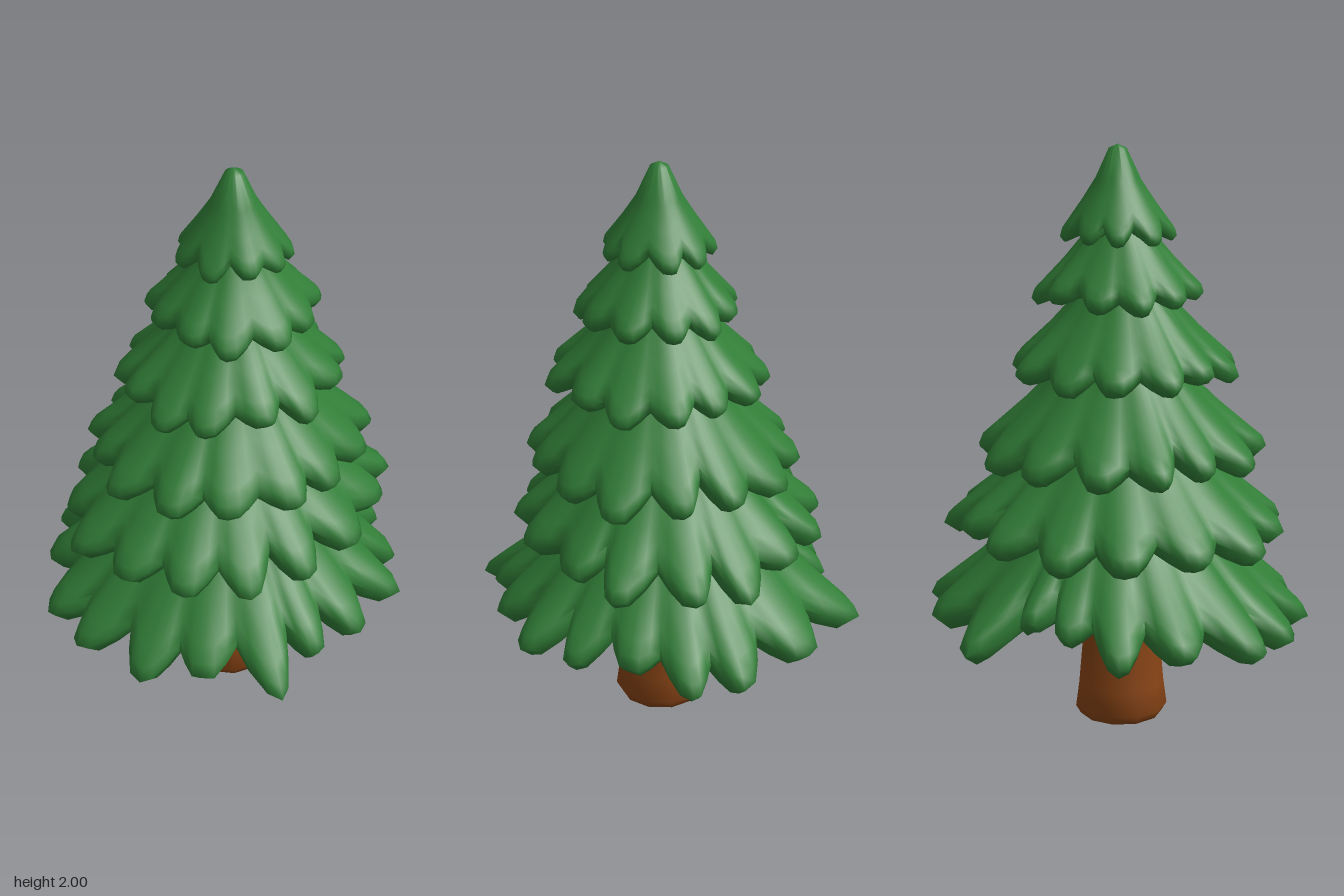
import * as THREE from 'three';
import { toCreasedNormals } from 'three/addons/utils/BufferGeometryUtils.js';

const green = new THREE.MeshStandardMaterial({ color: 0x317d37 });
green.name = 'needle green';
const brown = new THREE.MeshStandardMaterial({ color: 0x884415 });
brown.name = 'bark brown';

// Small seeded generator for the uneven leaves
function seeded(seed) {
  return () => {
    seed = (seed * 16807) % 2147483647;
    return seed / 2147483647;
  };
}

// Leaf tips of the widest skirt: angle in degrees (from +x towards +z) and reach
const skirtTips = [
  [-71, 0.68], [-40, 0.645], [-15, 0.67], [0, 0.665], [20, 0.585], [40, 0.605],
  [58, 0.64], [82, 0.615], [100, 0.615], [115, 0.705], [138, 0.63], [156, 0.67],
  [180, 0.67], [197, 0.675], [222, 0.63], [242, 0.65], [262, 0.55], [275, 0.54],
];

// Tiers from the top down: top radius and height, leaf tip radii, rim height, thickness
const tiers = [
  { r0: 0.03, y0: 1.985, rx: 0.2, rz: 0.2, rim: 1.715, thick: 0.035, leaves: 9, cx: 0.008, cz: 0.03 },
  { r0: 0.05, y0: 1.82, rx: 0.305, rz: 0.29, rim: 1.505, thick: 0.045, leaves: 11, cx: 0.003, cz: 0.033 },
  { r0: 0.08, y0: 1.62, rx: 0.405, rz: 0.385, rim: 1.26, thick: 0.05, leaves: 13, cx: -0.008, cz: 0.035 },
  { r0: 0.11, y0: 1.4, rx: 0.515, rz: 0.48, rim: 0.98, thick: 0.06, leaves: 14, cx: -0.004, cz: 0.028 },
  { r0: 0.16, y0: 1.15, rx: 0.615, rz: 0.55, rim: 0.72, thick: 0.065, leaves: 15, cx: -0.005, cz: 0.005 },
  { r0: 0.2, y0: 0.9, rx: 0.66, rz: 0.66, rim: 0.42, thick: 0.07, tips: skirtTips, cx: 0, cz: 0 },
];

// Outline from one blunt leaf tip, through the notch, towards the next tip
const leafShape = [1, 0.89, 0.46, 0, 0.46, 0.89];

// One skirt of drooping leaves: sloping top, thick rim and hollow underside
function tierGeometry(t, seed) {
  const rand = seeded(seed);
  const tips = t.tips
    ? t.tips.map(([degrees, reach]) => [THREE.MathUtils.degToRad(degrees), reach / t.rx])
    : Array.from({ length: t.leaves }, (_, i) =>
      [((i + (rand() - 0.5) * 0.3) / t.leaves) * Math.PI * 2, 0.93 + 0.08 * rand()]);
  const leaves = tips.map(([angle, length]) => ({
    angle, length, notch: 0.78 + 0.08 * rand(), drop: (rand() - 0.5) * 0.03,
  }));

  const columns = [];
  leaves.forEach((leaf, i) => {
    const next = leaves[(i + 1) % leaves.length];
    const turn = i === leaves.length - 1 ? Math.PI * 2 : 0;
    leafShape.forEach((f, k) => {
      const u = k / leafShape.length;
      const length = THREE.MathUtils.lerp(leaf.length, next.length, u);
      columns.push({
        f,
        angle: THREE.MathUtils.lerp(leaf.angle, next.angle + turn, u),
        reach: length * (leaf.notch + (1 - leaf.notch) * f),
        drop: THREE.MathUtils.lerp(leaf.drop, next.drop, u) * f,
      });
    });
  });

  const rise = t.y0 - t.rim;
  const inner = t.r0 / t.rx;
  const floor = t.rim - t.thick;
  const hollow = floor + 0.16 * t.rx;
  const profile = (c) => {
    const span = (c.reach - inner) / (1 - inner);
    const slope = (k) => [
      inner + (c.reach - inner) * k,
      t.y0 - rise * Math.pow(span * k, 0.76) - (0.045 * t.rx * (1 - c.f) + c.drop) * k * k,
    ];
    const edge = slope(1);
    const bottom = Math.max(edge[1] - t.thick, floor);
    return [
      [0, t.y0 + 0.015], slope(0), slope(0.3), slope(0.6), slope(0.85),
      [edge[0] * 0.97, slope(0.97)[1]],
      [edge[0], edge[1] - t.thick * 0.45],
      [edge[0] * 0.93, bottom],
      [edge[0] * 0.7, bottom + (hollow - bottom) * 0.55 + 0.04 * t.rx * (1 - c.f)],
      [0.3, hollow], [0, hollow],
    ];
  };

  const positions = [];
  const index = [];
  let rows = 0;
  for (const c of columns) {
    const points = profile(c);
    rows = points.length;
    for (const [r, y] of points) {
      positions.push(t.cx + r * t.rx * Math.cos(c.angle), y, t.cz + r * t.rz * Math.sin(c.angle));
    }
  }
  const n = columns.length;
  for (let j = 0; j < n; j++) {
    const a = j * rows;
    const b = ((j + 1) % n) * rows;
    for (let i = 0; i < rows - 1; i++) {
      if (i > 0) index.push(a + i, b + i, a + i + 1);
      if (i < rows - 2) index.push(b + i, b + i + 1, a + i + 1);
    }
  }
  const geometry = new THREE.BufferGeometry();
  geometry.setAttribute('position', new THREE.Float32BufferAttribute(positions, 3));
  geometry.setIndex(index);
  return toCreasedNormals(geometry, 1.7);
}

export function createModel() {
  const tree = new THREE.Group();
  tree.name = 'pineTree';

  // Trunk with a flared foot
  const profile = [[0, 0], [0.145, 0], [0.162, 0.03], [0.15, 0.12], [0.138, 0.26], [0.132, 0.4], [0.12, 0.6]]
    .map(([r, y]) => new THREE.Vector2(r, y));
  const trunk = new THREE.Mesh(toCreasedNormals(new THREE.LatheGeometry(profile, 11), 1.7), brown);
  trunk.name = 'trunk';
  trunk.position.set(-0.007, 0, 0.025);
  tree.add(trunk);

  // Branch tiers
  tiers.forEach((t, i) => {
    const tier = new THREE.Mesh(tierGeometry(t, 4231 + i * 977), green);
    tier.name = `branchTier${i + 1}`;
    tree.add(tier);
  });
  return tree;
}
